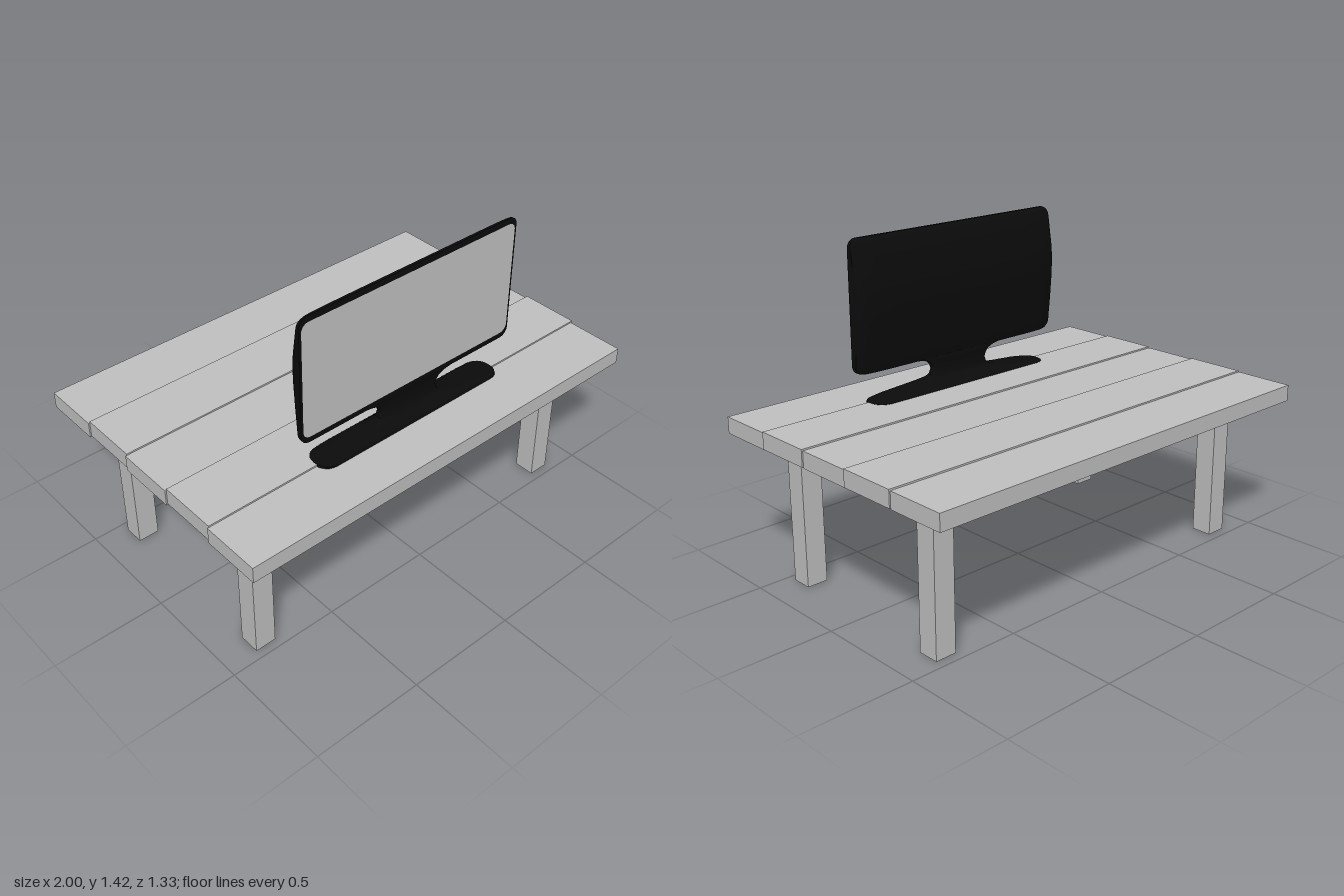
import * as THREE from 'three';
import { toCreasedNormals } from 'three/addons/utils/BufferGeometryUtils.js';

// Skins a stack of equal-length rings of [x, z] points, each at height y, with both ends closed
function loft(rows) {
  const n = rows[0].ring.length, pos = [], idx = [];
  rows.forEach(({ y, ring }) => ring.forEach(([x, z]) => pos.push(x, y, z)));
  for (let r = 0; r < rows.length - 1; r++) {
    for (let i = 0; i < n; i++) {
      const a = r * n + i, b = r * n + (i + 1) % n;
      idx.push(a, a + n, b, b, a + n, b + n);
    }
  }
  const top = (rows.length - 1) * n;
  for (let i = 1; i < n - 1; i++) {
    idx.push(0, i, i + 1);
    idx.push(top, top + i + 1, top + i);
  }
  const g = new THREE.BufferGeometry();
  g.setAttribute('position', new THREE.Float32BufferAttribute(pos, 3));
  g.setIndex(idx);
  return toCreasedNormals(g, 0.7);
}

// Rounded rectangle ring between z0 and z1
function roundedRing(w, z0, z1, r) {
  const ring = [], d = (z1 - z0) / 2, c = (z0 + z1) / 2, steps = 6;
  [[1, 1], [-1, 1], [-1, -1], [1, -1]].forEach(([sx, sz], q) => {
    for (let i = 0; i <= steps; i++) {
      const t = (q + i / steps) * Math.PI / 2;
      ring.push([sx * (w - r) + r * Math.cos(t), c + sz * (d - r) + r * Math.sin(t)]);
    }
  });
  return ring;
}

// Flat front at z = 0.4, softly cornered back of the given depth
function bodyRing(w, depth) {
  const ring = [], steps = 20;
  for (let i = 0; i <= steps; i++) {
    const t = Math.PI * (1 + i / steps), c = Math.cos(t);
    const s = i === 0 || i === steps ? 0 : Math.abs(Math.sin(t));
    ring.push([w * Math.sign(c) * Math.abs(c) ** 0.3, 0.4 - depth * s ** 0.3]);
  }
  return ring;
}

export function createModel() {
  const grey = new THREE.MeshStandardMaterial({ color: 0xc0c0c0 });
  grey.name = 'table grey';
  const black = new THREE.MeshStandardMaterial({ color: 0x0b0b0b });
  black.name = 'casing black';
  const screenGrey = new THREE.MeshStandardMaterial({ color: 0xc2c2c2 });
  screenGrey.name = 'screen grey';

  const model = new THREE.Group();
  const table = new THREE.Group();
  table.name = 'table';
  const monitor = new THREE.Group();
  monitor.name = 'monitor';
  model.add(table, monitor);

  const add = (parent, name, geometry, material) => {
    const mesh = new THREE.Mesh(geometry, material);
    mesh.name = name;
    parent.add(mesh);
    return mesh;
  };
  const box = (name, x0, x1, y0, y1, z0, z1) =>
    add(table, name, new THREE.BoxGeometry(x1 - x0, y1 - y0, z1 - z0), grey)
      .position.set((x0 + x1) / 2, (y0 + y1) / 2, (z0 + z1) / 2);

  // Five planks, every second one slightly raised and shifted
  for (let i = 0; i < 5; i++) {
    const odd = i % 2, z = -0.665 + i * 0.266;
    box('plank', -1 + odd * 0.006, 0.994 + odd * 0.006,
      0.638 + odd * 0.005, 0.71 + odd * 0.007, z, z + 0.266);
  }

  // Legs and the frame joining them
  const xs = [[-0.86, -0.765], [0.757, 0.852]], zs = [[-0.457, -0.363], [0.367, 0.461]];
  for (const [x0, x1] of xs) {
    for (const [z0, z1] of zs) box('leg', x0, x1, 0, 0.64, z0, z1);
    box('sideRail', x0, x1, 0.548, 0.64, zs[0][1], zs[1][0]);
  }
  for (const [z0, z1] of zs) box('longRail', xs[0][1], xs[1][0], 0.548, 0.64, z0, z1);

  // Monitor casing: back depth follows a smooth curve, corners are rounded
  const back = new THREE.SplineCurve([
    [0.85, 0.032], [0.91, 0.043], [1.03, 0.06], [1.14, 0.07], [1.23, 0.067],
    [1.33, 0.045], [1.39, 0.027], [1.418, 0.012],
  ].map(([y, d]) => new THREE.Vector2(y, d)));
  const corner = 0.04, y0 = 0.85, y1 = 1.418;
  const body = back.getPoints(70).map(({ x: y, y: depth }) => {
    const k = Math.max(0, corner - Math.min(y - y0, y1 - y));
    const inset = corner - Math.sqrt(Math.max(0, corner * corner - k * k));
    return { y, ring: bodyRing(0.557 - inset, depth) };
  });
  add(monitor, 'casing', loft(body), black);

  // Screen plate
  const w = 0.547, b = 0.876, t = 1.393, r = 0.035;
  const outline = new THREE.Shape();
  outline.absarc(w - r, t - r, r, 0, Math.PI / 2);
  outline.absarc(-w + r, t - r, r, Math.PI / 2, Math.PI);
  outline.absarc(-w + r, b + r, r, Math.PI, Math.PI * 1.5);
  outline.absarc(w - r, b + r, r, Math.PI * 1.5, Math.PI * 2);
  add(monitor, 'screen', new THREE.ShapeGeometry(outline, 8), screenGrey).position.z = 0.402;

  // Stand: wide foot sweeping up into the neck; [y, half width, back z, front z, corner]
  const stand = [
    [0.709, 0.485, 0.315, 0.45, 0.06], [0.718, 0.482, 0.315, 0.45, 0.06],
    [0.727, 0.42, 0.32, 0.447, 0.055], [0.737, 0.31, 0.33, 0.44, 0.045],
    [0.746, 0.235, 0.343, 0.43, 0.035], [0.757, 0.18, 0.355, 0.416, 0.022],
    [0.77, 0.157, 0.361, 0.406, 0.016], [0.795, 0.148, 0.364, 0.401, 0.012],
    [0.815, 0.155, 0.365, 0.4, 0.01], [0.833, 0.172, 0.365, 0.4, 0.01],
    [0.844, 0.2, 0.366, 0.4, 0.01], [0.852, 0.25, 0.367, 0.4, 0.01],
  ].map(([y, hw, za, zb, cr]) => ({ y, ring: roundedRing(hw, za, zb, cr) }));
  add(monitor, 'stand', loft(stand), black);

  return model;
}
